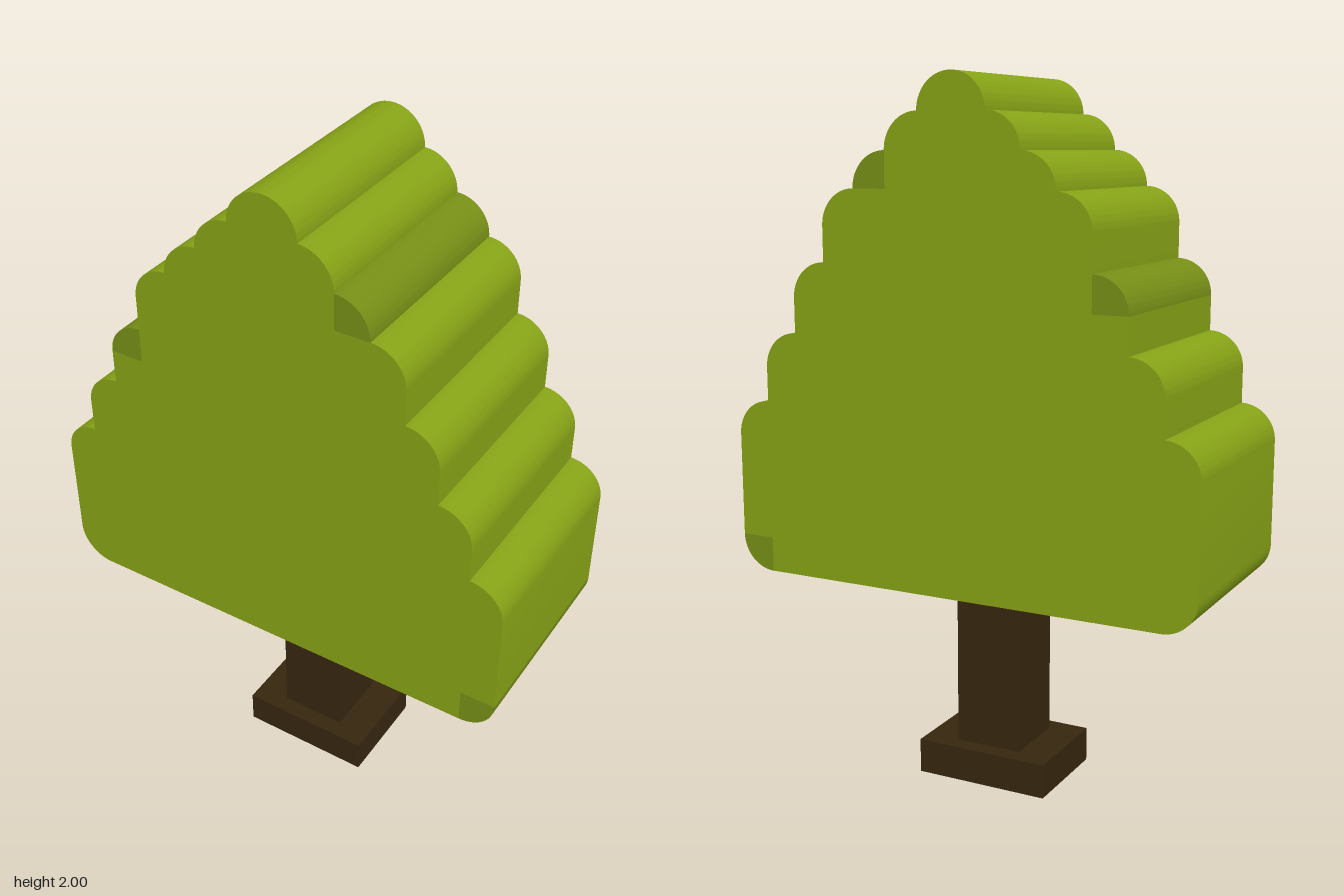
import * as THREE from 'three';
import { toCreasedNormals } from 'three/addons/utils/BufferGeometryUtils.js';

const R = 0.1, DEPTH = 0.6;
const TOPS = [2.0, 1.9, 1.8, 1.7, 1.5, 1.3, 1.1]; // top of each step, from the middle outwards

export function createModel() {
  const group = new THREE.Group();
  const leaf = new THREE.MeshStandardMaterial({ color: 0x86a216 });
  const darkLeaf = new THREE.MeshStandardMaterial({ color: 0x768e16 });
  const bark = new THREE.MeshStandardMaterial({ color: 0x36260f });

  const add = (name, geometry, material, y = 0) => {
    const mesh = new THREE.Mesh(geometry, material);
    mesh.name = name;
    mesh.position.y = y;
    group.add(mesh);
  };

  const slab = (shape) => {
    const g = new THREE.ExtrudeGeometry(shape, { depth: DEPTH, bevelEnabled: false, curveSegments: 12 });
    g.translate(0, 0, -DEPTH / 2);
    return toCreasedNormals(g, 0.6);
  };

  // Quarter-round corner in the crown outline, or a square notch where a darker piece sits
  const corner = (shape, cx, cy, start, notch) => {
    const at = (a) => [cx + R * Math.cos(a), cy + R * Math.sin(a)];
    const end = start + Math.PI / 2;
    shape.lineTo(...at(start));
    if (notch) {
      shape.lineTo(cx, cy);
      shape.lineTo(...at(end));
      const wedge = new THREE.Shape();
      wedge.moveTo(cx, cy);
      wedge.lineTo(...at(start));
      wedge.absarc(cx, cy, R, start, end, false);
      wedge.lineTo(cx, cy);
      add('darkLeafCorner', slab(wedge), darkLeaf);
    } else {
      shape.absarc(cx, cy, R, start, end, false);
    }
  };

  // Crown: stepped outline, up the right side of the sheet and down the other
  const crown = new THREE.Shape();
  crown.moveTo(-0.6, 0.6);
  corner(crown, 0.6, 0.7, -Math.PI / 2, true);
  for (let k = 6; k >= 0; k--) corner(crown, k * R, TOPS[k] - R, 0, k === 2);
  for (let k = 0; k <= 6; k++) corner(crown, -k * R, TOPS[k] - R, Math.PI / 2, k === 4);
  corner(crown, -0.6, 0.7, Math.PI, false);
  add('crown', slab(crown), leaf);

  // Trunk and its foot
  add('trunk', new THREE.BoxGeometry(0.2, 0.5, 0.2), bark, 0.35);
  add('trunkBase', new THREE.BoxGeometry(0.4, 0.1, 0.3), bark, 0.05);

  return group;
}
